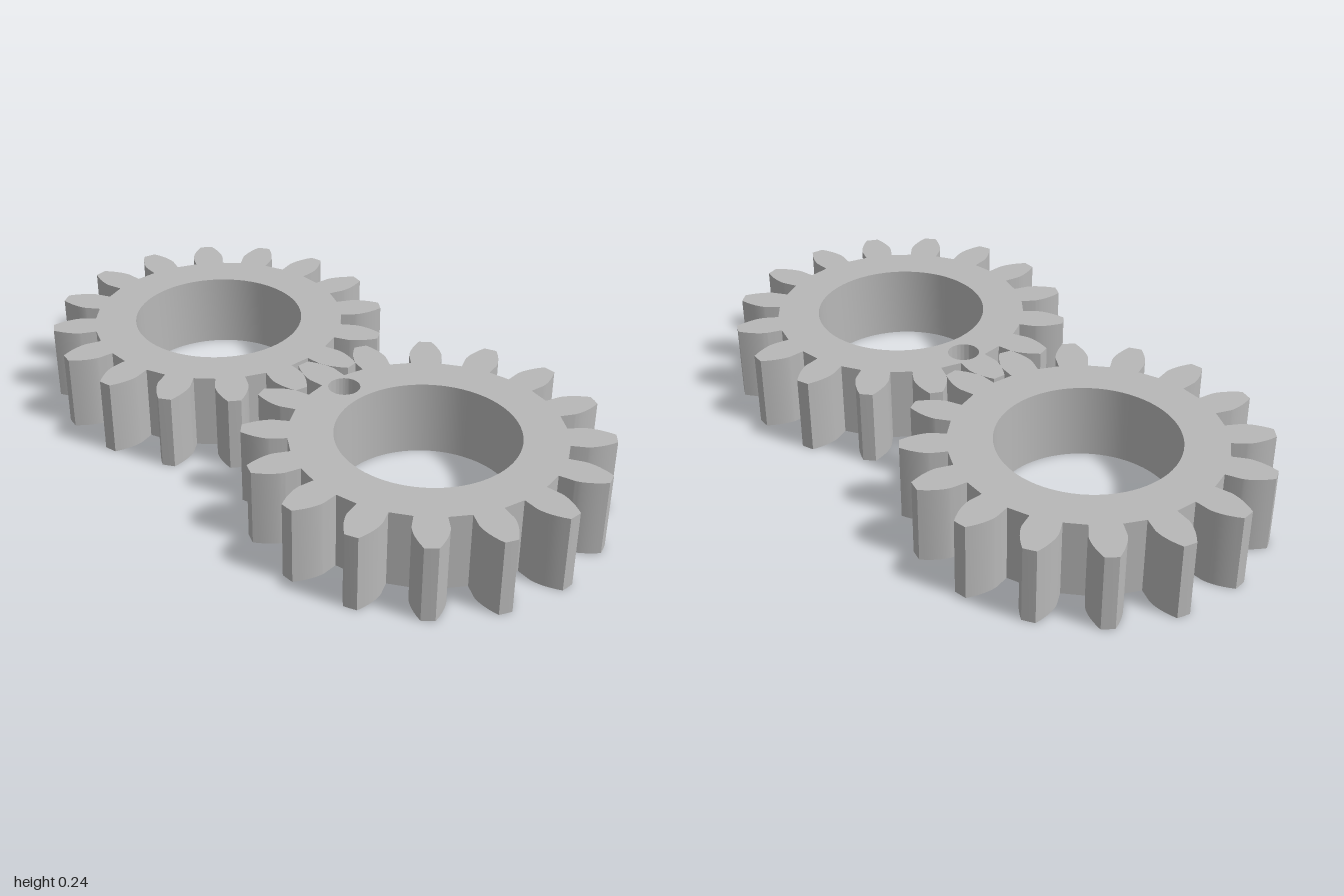
import * as THREE from 'three';
import { toCreasedNormals } from 'three/addons/utils/BufferGeometryUtils.js';

const TEETH = 16;
const MODULE = 0.05902;
const PITCH_R = TEETH * MODULE / 2;
const TIP_R = PITCH_R + MODULE;
const ROOT_R = PITCH_R - 1.25 * MODULE;
const PRESSURE = THREE.MathUtils.degToRad(20);
const BASE_R = PITCH_R * Math.cos(PRESSURE);
const HEIGHT = 4 * MODULE;
const BORE_R = 0.268;

const involute = (a) => Math.tan(a) - a;

// Half the angular width of a tooth at radius r (radial below the base circle)
function halfAngle(r) {
  const a = r > BASE_R ? Math.acos(BASE_R / r) : 0;
  return Math.PI / (2 * TEETH) + involute(PRESSURE) - involute(a);
}

// Gear outline with involute teeth, the first tooth centred on the given angle
function gearShape(firstTooth) {
  const radii = [ROOT_R];
  const steps = 8;
  for (let i = 0; i <= steps; i++) radii.push(BASE_R + (TIP_R - BASE_R) * (i / steps) ** 1.5);

  const points = [];
  const add = (r, angle) => points.push(new THREE.Vector2(r * Math.cos(angle), r * Math.sin(angle)));
  for (let t = 0; t < TEETH; t++) {
    const mid = firstTooth + t * Math.PI * 2 / TEETH;
    for (const r of radii) add(r, mid - halfAngle(r));
    add(TIP_R, mid);
    for (const r of [...radii].reverse()) add(r, mid + halfAngle(r));
  }
  return new THREE.Shape(points);
}

function addHole(shape, x, y, r) {
  shape.holes.push(new THREE.Path().absarc(x, y, r, 0, Math.PI * 2, true));
}

// Extrude upwards and lay the gear flat
function makeGear(name, shape, z, material) {
  const solid = new THREE.ExtrudeGeometry(shape, { depth: HEIGHT, bevelEnabled: false, curveSegments: 40 });
  solid.rotateX(-Math.PI / 2);
  const gear = new THREE.Mesh(toCreasedNormals(solid, Math.PI / 6), material);
  gear.name = name;
  gear.position.z = z;
  return gear;
}

export function createModel() {
  const steel = new THREE.MeshStandardMaterial({ color: 0xb8b8b8 });
  steel.name = 'grey steel';

  const group = new THREE.Group();
  group.name = 'gearPair';
  const frontZ = 1 - TIP_R;

  // Front gear: wide bore plus a small hole beside the meshing tooth
  const frontShape = gearShape(0);
  addHole(frontShape, 0, 0, BORE_R);
  addHole(frontShape, 0, 0.347, 0.048);
  group.add(makeGear('frontGear', frontShape, frontZ, steel));

  // Back gear: turned by half a tooth so the two mesh
  const backShape = gearShape(Math.PI / TEETH);
  addHole(backShape, 0, 0, BORE_R);
  group.add(makeGear('backGear', backShape, frontZ - 2 * PITCH_R, steel));

  return group;
}
